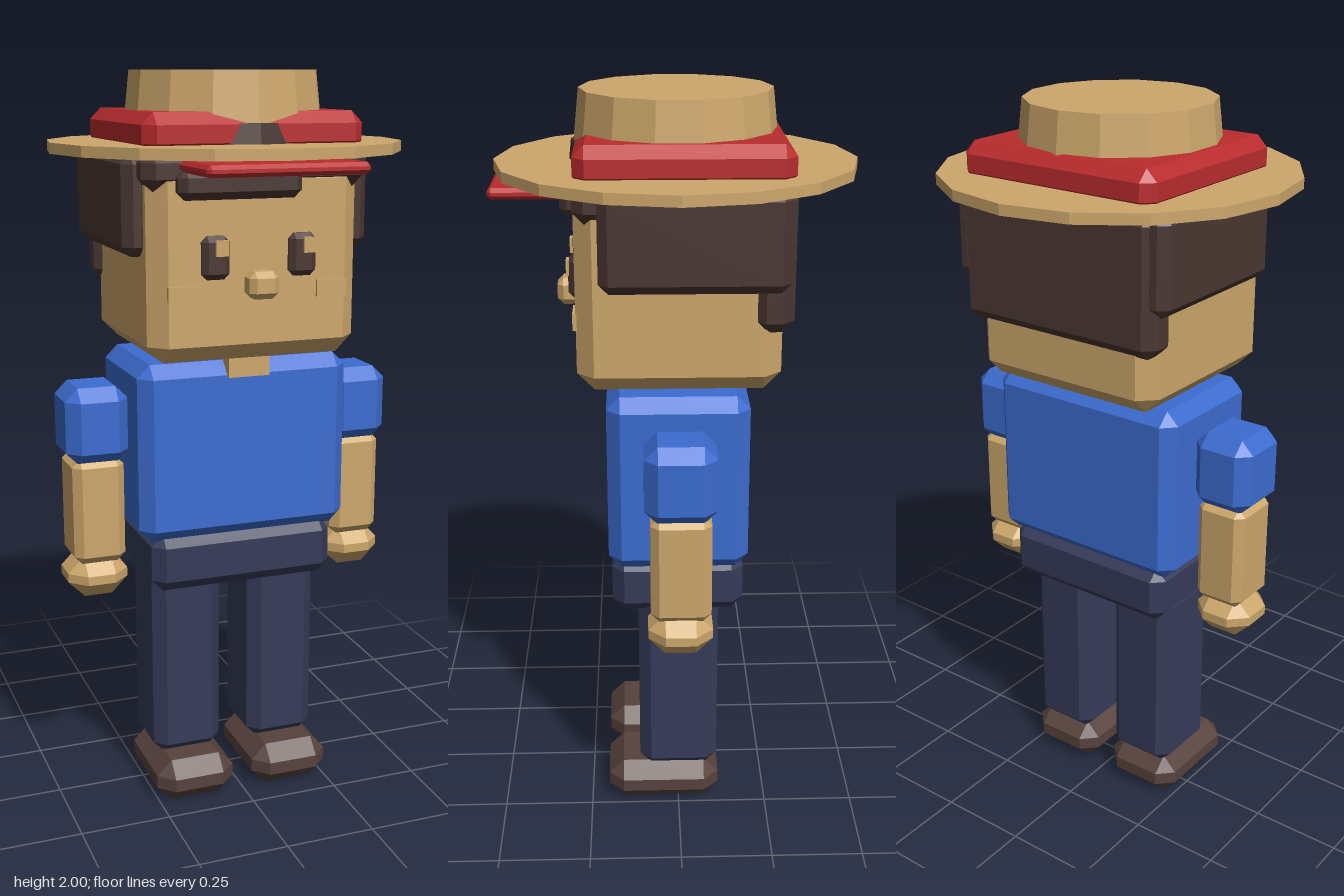
import * as THREE from 'three';
import { ConvexGeometry } from 'three/addons/geometries/ConvexGeometry.js';

const mat = (name, color) => {
  const m = new THREE.MeshStandardMaterial({ color });
  m.name = name;
  m.flatShading = true;
  return m;
};

// Box with every edge cut by a flat chamfer of size b
function chamferBox(w, h, d, b) {
  const pts = [];
  for (const sx of [-1, 1]) for (const sy of [-1, 1]) for (const sz of [-1, 1]) {
    const x = w / 2, y = h / 2, z = d / 2;
    pts.push(
      new THREE.Vector3(sx * x, sy * (y - b), sz * (z - b)),
      new THREE.Vector3(sx * (x - b), sy * y, sz * (z - b)),
      new THREE.Vector3(sx * (x - b), sy * (y - b), sz * z));
  }
  return new ConvexGeometry(pts);
}

export function createModel() {
  const model = new THREE.Group();
  model.name = 'blockFigure';

  const tan = mat('tan', 0xcda76b);
  const blue = mat('blue', 0x3c6cd0);
  const navy = mat('navy', 0x363b58);
  const shoeBrown = mat('shoeBrown', 0x57423c);
  const hairBrown = mat('hairBrown', 0x4a3733);
  const red = mat('red', 0xba2c2e);

  // Adds a part spanning the given ranges; b = 0 gives a plain box
  function block(name, material, [x0, x1], [y0, y1], [z0, z1], b = 0) {
    const w = x1 - x0, h = y1 - y0, d = z1 - z0;
    const geo = b ? chamferBox(w, h, d, b) : new THREE.BoxGeometry(w, h, d);
    const mesh = new THREE.Mesh(geo, material);
    mesh.position.set((x0 + x1) / 2, (y0 + y1) / 2, (z0 + z1) / 2);
    mesh.name = name;
    model.add(mesh);
  }
  // Same part on both sides of the body
  function pair(name, material, [x0, x1], y, z, b) {
    block(name + 'Left', material, [x0, x1], y, z, b);
    block(name + 'Right', material, [-x1, -x0], y, z, b);
  }
  function disc(name, material, rTop, rBottom, y0, y1, sides) {
    const mesh = new THREE.Mesh(new THREE.CylinderGeometry(rTop, rBottom, y1 - y0, sides), material);
    mesh.position.y = (y0 + y1) / 2;
    mesh.name = name;
    model.add(mesh);
  }

  // Legs and body
  pair('shoe', shoeBrown, [0.03, 0.255], [0, 0.12], [-0.115, 0.2], 0.042);
  pair('leg', navy, [0.043, 0.24], [0.11, 0.67], [-0.11, 0.11], 0.032);
  block('hips', navy, [-0.26, 0.26], [0.63, 0.79], [-0.175, 0.18], 0.032);
  block('torso', blue, [-0.295, 0.295], [0.775, 1.26], [-0.185, 0.188], 0.035);
  block('neck', tan, [-0.057, 0.057], [1.22, 1.31], [0.07, 0.2]);

  // Arms
  pair('sleeve', blue, [0.292, 0.465], [0.98, 1.19], [-0.093, 0.093], 0.035);
  pair('forearm', tan, [0.307, 0.45], [0.7, 0.995], [-0.08, 0.078], 0.022);
  pair('hand', tan, [0.298, 0.465], [0.6, 0.715], [-0.085, 0.085], 0.045);

  // Head and face
  block('head', tan, [-0.285, 0.285], [1.275, 1.78], [-0.262, 0.26], 0.045);
  block('nose', tan, [-0.04, 0.04], [1.44, 1.51], [0.25, 0.315], 0.016);
  pair('cheek', tan, [0.16, 0.243], [1.433, 1.477], [0.25, 0.268]);
  pair('eye', hairBrown, [0.08, 0.155], [1.49, 1.6], [0.245, 0.28], 0.015);
  for (const x of [-0.123, 0.115])
    block('eyeGlint', tan, [x, x + 0.034], [1.55, 1.59], [0.277, 0.285]);

  // Hair
  block('hairTop', hairBrown, [-0.3, 0.3], [1.71, 1.81], [-0.28, 0.262], 0.03);
  block('fringe', hairBrown, [-0.22, 0.108], [1.69, 1.765], [0.23, 0.3], 0.02);
  pair('hairSide', hairBrown, [0.265, 0.335], [1.545, 1.8], [-0.275, 0.2], 0.025);
  block('hairBack', hairBrown, [-0.305, 0.305], [1.435, 1.8], [-0.288, -0.185], 0.03);

  // Cap
  block('cap', red, [-0.295, 0.295], [1.795, 1.9], [-0.285, 0.258], 0.03);
  block('capVisor', red, [-0.21, 0.21], [1.757, 1.786], [0.2, 0.47], 0.01);

  // Straw hat worn over the cap
  disc('hatBrim', tan, 0.47, 0.47, 1.793, 1.821, 16);
  disc('hatBand', hairBrown, 0.269, 0.275, 1.82, 1.872, 14);
  disc('hatCrown', tan, 0.248, 0.268, 1.82, 2, 14);

  return model;
}
